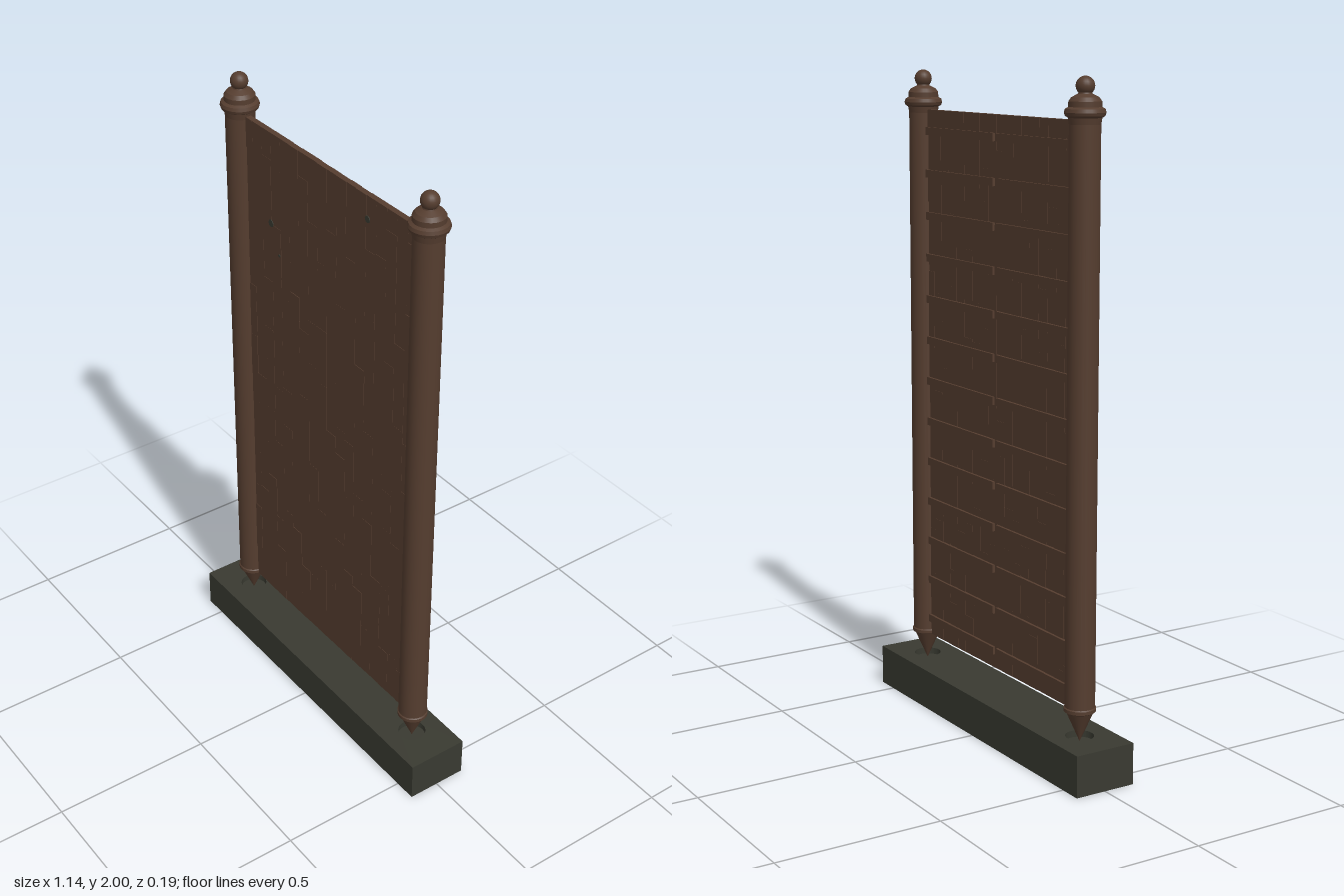
import * as THREE from 'three';

const wood = new THREE.MeshStandardMaterial({ color: 0x553d2f });
wood.name = 'brown wood';
const stone = new THREE.MeshStandardMaterial({ color: 0x393a31 });
stone.name = 'dark stone';

const POST_X = 0.44, BOTTOM = 0.2, TOP = 1.88;

// Small seeded generator for the uneven slats
function seeded(seed) {
  return () => {
    seed = (seed * 16807) % 2147483647;
    return seed / 2147483647;
  };
}

function add(parent, name, geometry, material, x = 0, y = 0, z = 0) {
  const mesh = new THREE.Mesh(geometry, material);
  mesh.name = name;
  mesh.position.set(x, y, z);
  parent.add(mesh);
  return mesh;
}

// Lathe a list of [radius, height]; each segment keeps its own edge
function turned(parent, name, profile, x) {
  const group = new THREE.Group();
  group.name = name;
  group.position.x = x;
  for (let i = 0; i < profile.length - 1; i++) {
    const pair = [profile[i], profile[i + 1]].map(([r, y]) => new THREE.Vector2(r, y));
    add(group, name + 'Section', new THREE.LatheGeometry(pair, 24), wood);
  }
  parent.add(group);
}

// Stone plinth with a shallow round socket under each post
function makeBase() {
  const base = new THREE.Group();
  base.name = 'base';
  add(base, 'baseBlock', new THREE.BoxGeometry(1.14, 0.105, 0.194), stone, 0, 0.0525, 0);
  const outline = new THREE.Shape();
  outline.moveTo(-0.57, -0.097).lineTo(0.57, -0.097).lineTo(0.57, 0.097).lineTo(-0.57, 0.097);
  for (const s of [-1, 1]) {
    outline.holes.push(new THREE.Path().absarc(s * POST_X, 0, 0.042, 0, Math.PI * 2, true));
  }
  const slab = new THREE.ExtrudeGeometry(outline, { depth: 0.02, bevelEnabled: false, curveSegments: 24 });
  slab.rotateX(-Math.PI / 2);
  add(base, 'baseTop', slab, stone, 0, 0.105, 0);
  return base;
}

// Round post with a pointed foot, collar and ball finial
function makePost(name, x) {
  const post = new THREE.Group();
  post.name = name;
  turned(post, 'shaft', [
    [0, 0.108], [0.04, 0.198], [0.047, 0.202], [0.047, 0.212], [0.044, 0.215], [0.044, 1.87],
  ], x);
  turned(post, 'cap', [
    [0.044, 1.87], [0.047, 1.888], [0.055, 1.893], [0.058, 1.902], [0.055, 1.912],
    [0.046, 1.917], [0.046, 1.932], [0.038, 1.943], [0.02, 1.952], [0.017, 1.96],
  ], x);
  add(post, 'finial', new THREE.SphereGeometry(0.0265, 20, 14), wood, x, 1.9735, 0);
  return post;
}

// Two leaves of narrow slats, each column made of pieces at slightly different depths
function makePanel() {
  const panel = new THREE.Group();
  panel.name = 'panel';
  const rand = seeded(4711);
  const columns = 9, width = 0.41 / columns;
  for (const s of [-1, 1]) {
    const leaf = new THREE.Group();
    leaf.name = s > 0 ? 'leftLeaf' : 'rightLeaf';
    panel.add(leaf);
    for (let c = 0; c < columns; c++) {
      let y = BOTTOM;
      while (y < TOP - 0.001) {
        let h = 0.08 + rand() * 0.16;
        if (TOP - y - h < 0.06) h = TOP - y;
        const shift = (rand() - 0.5) * 0.002;
        add(leaf, 'slat', new THREE.BoxGeometry(width, h, 0.018), wood,
          s * (c + 0.5) * width, y + h / 2, shift);
        y += h;
      }
    }
    // Cross battens on the back, broken at the middle seam
    for (let i = 0; i < 13; i++) {
      add(leaf, 'batten', new THREE.BoxGeometry(0.392, 0.024, 0.009), wood,
        s * 0.204, 0.255 + i * 0.13, -0.0125);
    }
  }
  return panel;
}

// Small dark knots set into the front face
function makeKnots() {
  const knots = new THREE.Group();
  knots.name = 'knots';
  for (const [x, y, r] of [[0.19, 1.81, 0.011], [-0.275, 1.59, 0.012], [-0.235, 1.5, 0.005]]) {
    const disc = new THREE.CylinderGeometry(r, r, 0.002, 8).rotateX(Math.PI / 2);
    add(knots, 'knot', disc, stone, x, y, 0.0102);
  }
  return knots;
}

export function createModel() {
  const model = new THREE.Group();
  model.name = 'standingScreen';
  model.add(makeBase(), makePost('rightPost', -POST_X), makePost('leftPost', POST_X), makePanel(), makeKnots());
  return model;
}
